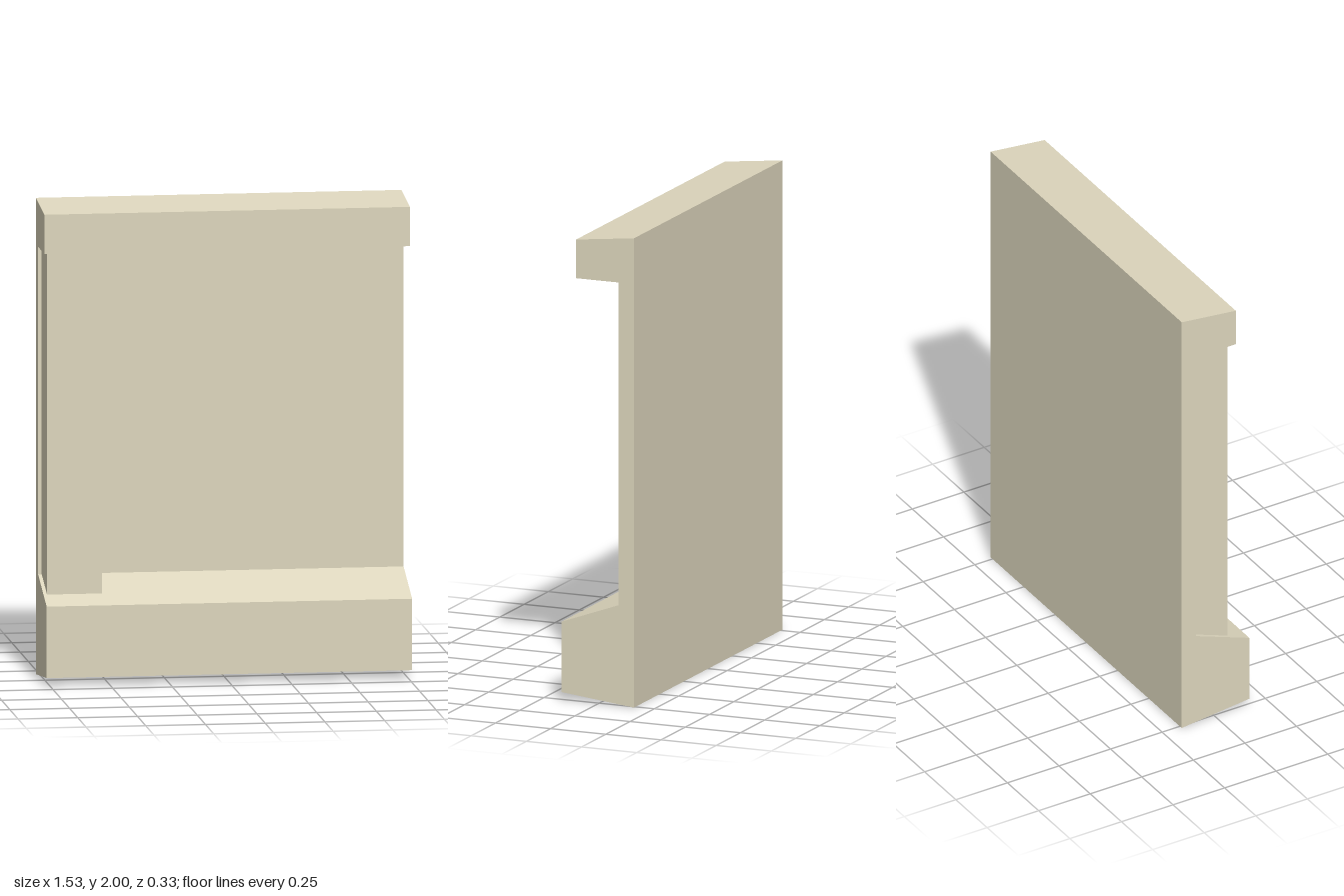
import * as THREE from 'three';

const material = new THREE.MeshStandardMaterial({ color: 0xddd6bd, flatShading: true });

// Extrudes a side profile of [z, y] corners along x, from x0 to x1.
function profileMesh(name, corners, x0, x1) {
  const shape = new THREE.Shape(corners.map(([z, y]) => new THREE.Vector2(-z, y)));
  const geometry = new THREE.ExtrudeGeometry(shape, { depth: x1 - x0, bevelEnabled: false });
  geometry.rotateY(Math.PI / 2).translate(x0, 0, 0);
  const mesh = new THREE.Mesh(geometry, material);
  mesh.name = name;
  return mesh;
}

export function createModel() {
  const group = new THREE.Group();
  group.name = 'wallPanel';

  const halfWidth = 0.765;
  const back = -0.164, face = -0.095, baseFront = 0.164, capFront = 0.098;

  // Wall slab with sloped plinth at the bottom and overhanging cap at the top
  group.add(profileMesh('wallWithPlinthAndCap', [
    [back, 0], [baseFront, 0.035], [baseFront, 0.335], [face, 0.43],
    [face, 1.805], [capFront, 1.805], [capFront, 1.97], [back, 2],
  ], -halfWidth, halfWidth));

  // Pilaster near the right end, standing on the plinth slope under the cap
  group.add(profileMesh('pilaster', [
    [face, 0.43], [0.068, 0.37], [0.068, 1.805], [face, 1.805],
  ], -0.75, -0.52));

  return group;
}
